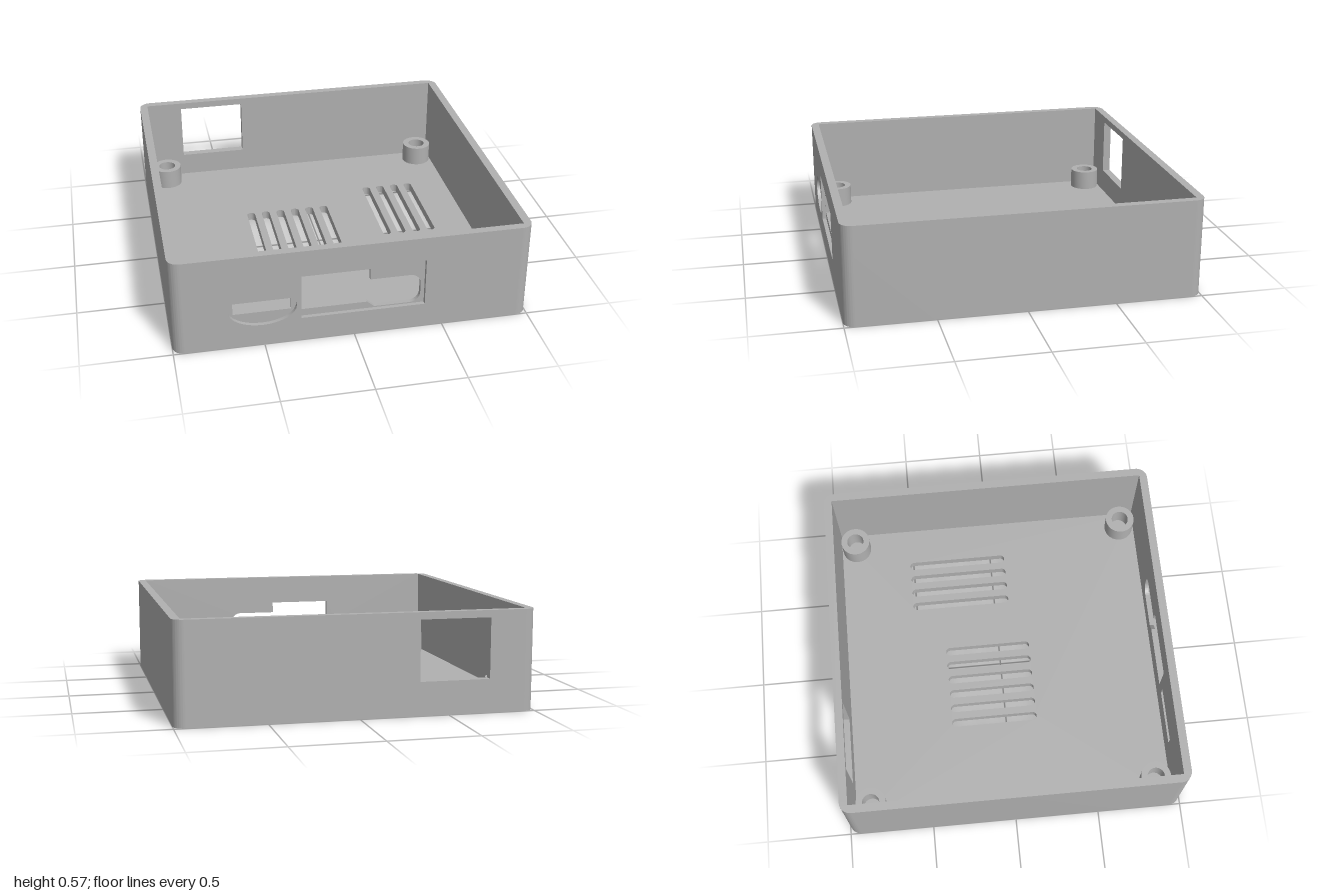
import * as THREE from 'three';
import { toCreasedNormals } from 'three/addons/utils/BufferGeometryUtils.js';

const H = 0.57;        // case height
const IN = 0.953;      // inner half width
const R = 0.065;       // outer corner radius
const C = 1 - R;       // centre of the corner arcs
const FLOOR = 0.05;
const FOOT = 0.02;     // depth of the foot recesses
const MID = 0.977;     // back plane of the front recesses

const rect = (x0, x1, y0, y1, Type = THREE.Path) => {
  const p = new Type();
  p.moveTo(x0, y0);
  p.lineTo(x1, y0);
  p.lineTo(x1, y1);
  p.lineTo(x0, y1);
  p.closePath();
  return p;
};

const ellipse = (x, y, rx, ry) => {
  const p = new THREE.Path();
  p.absellipse(x, y, rx, ry, 0, Math.PI * 2);
  return p;
};

// Round-ended slot running along y
const slot = (x, y0, y1, r) => {
  const p = new THREE.Path();
  p.moveTo(x + r, y0 + r);
  p.lineTo(x + r, y1 - r);
  p.absarc(x, y1 - r, r, 0, Math.PI);
  p.lineTo(x - r, y0 + r);
  p.absarc(x, y0 + r, r, Math.PI, Math.PI * 2);
  return p;
};

const extrude = (shape, depth, holes = []) => {
  shape.holes.push(...holes);
  const g = new THREE.ExtrudeGeometry(shape, { depth, bevelEnabled: false, curveSegments: 16 });
  return toCreasedNormals(g, 0.6);
};

export function createModel() {
  const group = new THREE.Group();
  const grey = new THREE.MeshStandardMaterial({ color: 0xb0b0b0 });
  grey.name = 'grey plastic';

  const add = (name, geometry, x = 0, y = 0, z = 0) => {
    const mesh = new THREE.Mesh(geometry, grey);
    mesh.name = name;
    mesh.position.set(x, y, z);
    group.add(mesh);
    return mesh;
  };

  // Floor in two layers: foot recesses below, vent slots through both
  const vents = () => {
    const list = [];
    for (let i = 0; i < 6; i++) list.push(slot(-0.377 + i * 0.094, -0.19, 0.335, 0.025));
    for (let i = 0; i < 4; i++) list.push(slot(0.42 + i * 0.094, -0.09, 0.52, 0.025));
    return list;
  };
  const corners = [[-1, -1], [1, -1], [1, 1], [-1, 1]];
  const feet = corners.map(([sx, sy]) => ellipse(sx * 0.685, sy * 0.685, 0.127, 0.127));
  // Feet and vents overlap nowhere, so all can be plain holes
  const plate = (depth, holes) =>
    extrude(rect(-IN, IN, -IN, IN, THREE.Shape), depth, holes).rotateX(-Math.PI / 2);
  add('floorUnderside', plate(FOOT, [...vents(), ...feet]));
  add('floor', plate(FLOOR - FOOT, vents()), 0, FOOT, 0);

  // Side walls, each with its two rounded outer corners
  const side = new THREE.Shape();
  side.moveTo(C, -IN);
  side.lineTo(C, -1);
  side.absarc(C, -C, R, -Math.PI / 2, 0);
  side.lineTo(1, C);
  side.absarc(C, C, R, 0, Math.PI / 2);
  side.lineTo(C, IN);
  side.lineTo(IN, IN);
  side.lineTo(IN, -IN);
  side.closePath();
  const sideGeometry = extrude(side, H).rotateX(-Math.PI / 2);
  add('leftWall', sideGeometry);
  add('rightWall', sideGeometry).rotation.y = Math.PI;

  // Back wall with its rectangular port
  const panel = () => rect(-C, C, 0, H, THREE.Shape);
  add('backWall', extrude(panel(), 1 - IN, [rect(-0.735, -0.335, 0.19, 0.53)]), 0, 0, -1);

  // Front wall: outer layer with recesses, inner layer with the openings
  add('frontWallOuter', extrude(panel(), 1 - MID, [
    ellipse(-0.508, 0.234, 0.188, 0.105),
    rect(-0.295, 0.397, 0.145, 0.428),
  ]), 0, 0, MID);

  const port = new THREE.Path();
  port.moveTo(-0.29, 0.187);
  port.lineTo(0.075, 0.187);
  port.lineTo(0.115, 0.152);
  port.lineTo(0.315, 0.152);
  port.absarc(0.315, 0.212, 0.06, -Math.PI / 2, 0);
  port.lineTo(0.375, 0.27);
  port.absarc(0.315, 0.27, 0.06, 0, Math.PI / 2);
  port.lineTo(0.09, 0.33);
  port.lineTo(0.09, 0.397);
  port.lineTo(-0.29, 0.397);
  port.closePath();
  add('frontWallInner', extrude(panel(), MID - IN, [
    rect(-0.668, -0.348, 0.2, 0.268), port,
  ]), 0, 0, IN);

  // Hollow screw posts
  const ring = new THREE.Shape();
  ring.absarc(0, 0, 0.09, 0, Math.PI * 2);
  const post = extrude(ring, 0.12, [ellipse(0, 0, 0.052, 0.052)]).rotateX(-Math.PI / 2);
  for (const [sx, sz] of corners) add('screwPost', post, sx * 0.857, FLOOR, sz * 0.857);

  return group;
}
